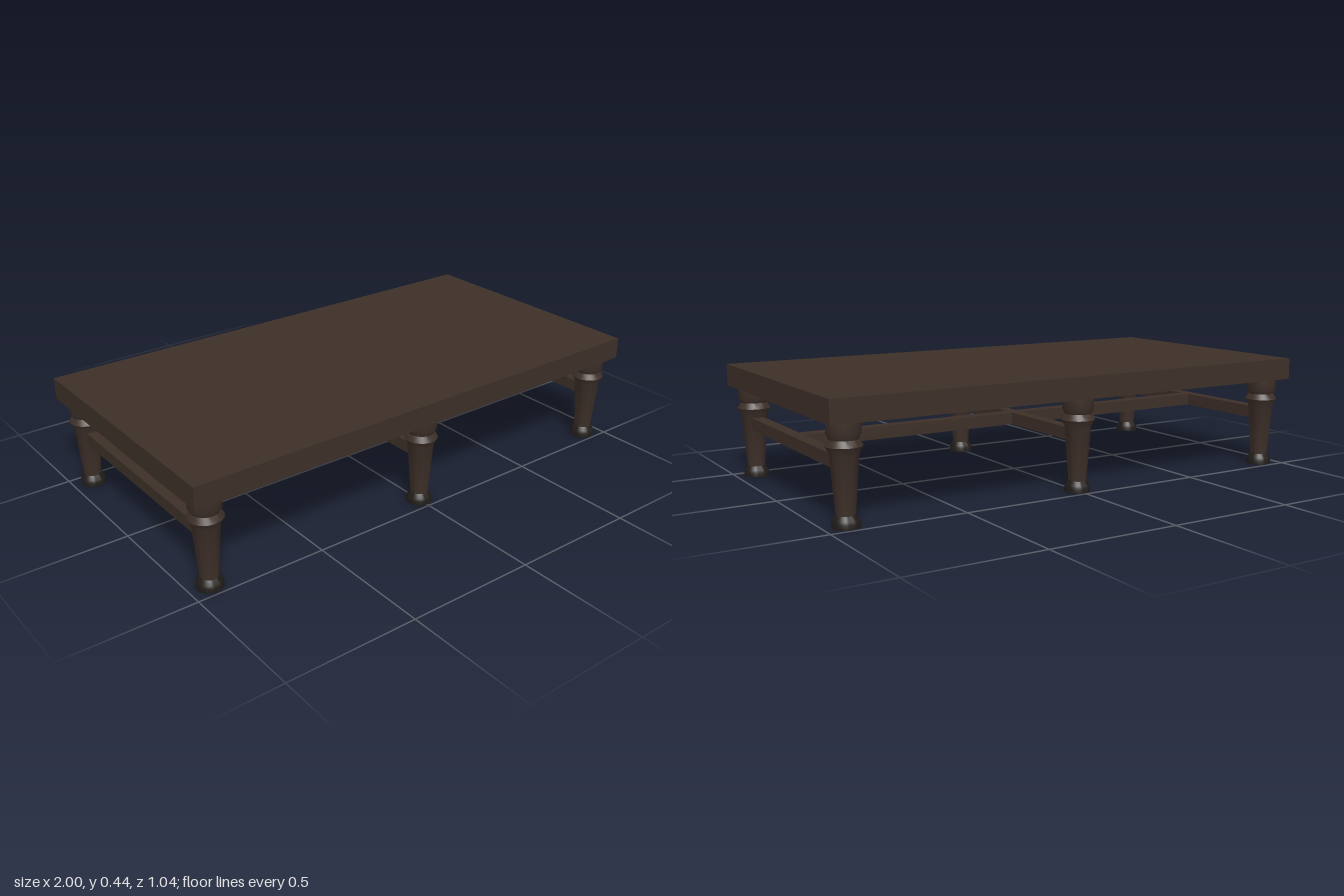
import * as THREE from 'three';
import { toCreasedNormals } from 'three/addons/utils/BufferGeometryUtils.js';

const wood = new THREE.MeshStandardMaterial({ color: 0x3d2f28 });
const darkWood = new THREE.MeshStandardMaterial({ color: 0x211c19 });

// Turned piece from [radius, height] pairs, bottom to top
function turned(profile) {
  const points = profile.map(([r, y]) => new THREE.Vector2(r, y));
  return toCreasedNormals(new THREE.LatheGeometry(points, 32), 0.6);
}

export function createModel() {
  const group = new THREE.Group();

  function add(name, geometry, material, x, y, z, parent = group) {
    const mesh = new THREE.Mesh(geometry, material);
    mesh.name = name;
    mesh.position.set(x, y, z);
    parent.add(mesh);
  }

  const legX = 0.922, legZ = 0.442;
  const barY = 0.212, barSize = 0.047;

  // Thick slab top
  add('tableTop', new THREE.BoxGeometry(2, 0.084, 1.036), wood, 0, 0.396, 0);

  // Turned legs with a sharp collar and a dark flared foot
  const legGeometry = turned([
    [0, 0.038], [0.033, 0.038], [0.049, 0.245], [0.063, 0.271],
    [0.05, 0.293], [0.058, 0.311], [0.058, 0.355], [0, 0.355],
  ]);
  const footGeometry = turned([
    [0, 0], [0.048, 0], [0.048, 0.016], [0.044, 0.027], [0.033, 0.042], [0, 0.042],
  ]);

  const crossBar = new THREE.BoxGeometry(barSize, barSize, legZ * 2);
  for (const x of [-legX, 0, legX]) {
    for (const z of [-legZ, legZ]) {
      const leg = new THREE.Group();
      leg.name = 'leg';
      leg.position.set(x, 0, z);
      add('legPost', legGeometry, wood, 0, 0, 0, leg);
      add('legFoot', footGeometry, darkWood, 0, 0, 0, leg);
      group.add(leg);
    }
    // Stretcher joining each front and back pair
    add('crossStretcher', crossBar, wood, x, barY, 0);
  }

  // Long central stretcher, in two halves between the cross stretchers
  const halfLength = legX - barSize;
  const longBar = new THREE.BoxGeometry(halfLength, barSize, barSize);
  for (const side of [-1, 1]) {
    add('longStretcher', longBar, wood, side * legX / 2, barY, 0);
  }

  return group;
}
